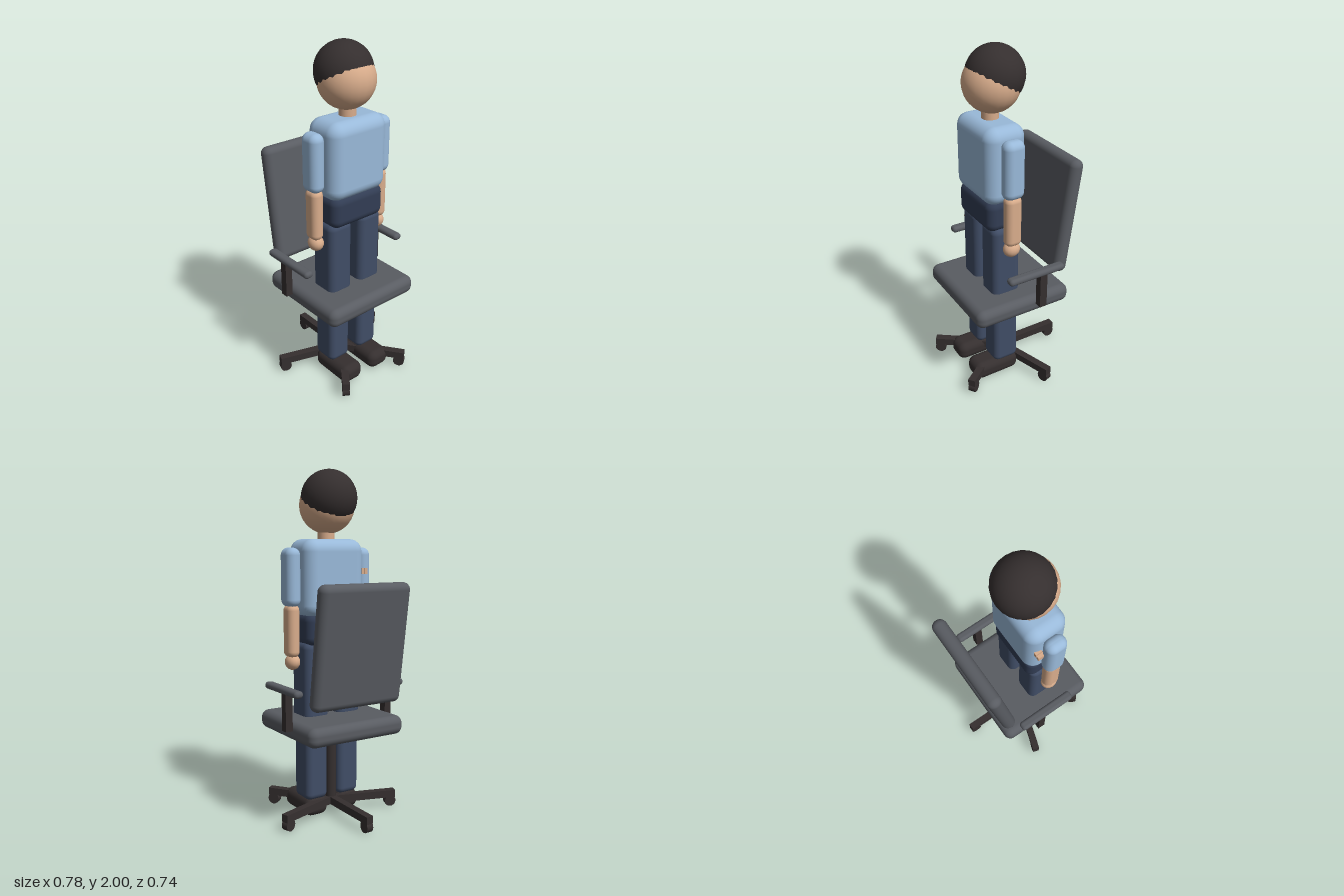
import * as THREE from 'three';
import { RoundedBoxGeometry } from 'three/addons/geometries/RoundedBoxGeometry.js';

const mat = (name, color) => {
  const m = new THREE.MeshStandardMaterial({ color });
  m.name = name;
  return m;
};

export function createModel() {
  const model = new THREE.Group();
  model.name = 'personWithOfficeChair';

  const dark = mat('darkBrown', 0x352f2f);
  const skin = mat('skin', 0xd9ad8c);
  const shirt = mat('shirtBlue', 0x99b9d9);
  const trousers = mat('trouserBlue', 0x404d66);
  const waist = mat('waistNavy', 0x323d54);
  const grey = mat('upholsteryGrey', 0x595c62);

  const add = (parent, name, geometry, material, x, y, z) => {
    const mesh = new THREE.Mesh(geometry, material);
    mesh.name = name;
    mesh.position.set(x, y, z);
    parent.add(mesh);
    return mesh;
  };
  // Rounded box given by its size, corner radius and centre
  const soft = (parent, name, material, [w, h, d], r, x, y, z) =>
    add(parent, name, new RoundedBoxGeometry(w, h, d, 4, r), material, x, y, z);

  // Person: head, hair, neck and trunk
  const person = new THREE.Group();
  person.name = 'person';
  model.add(person);
  add(person, 'head', new THREE.SphereGeometry(0.158, 24, 18), skin, 0, 1.8, 0.067);
  add(person, 'hair', new THREE.SphereGeometry(0.16, 24, 18), dark, 0, 1.84, 0.045);
  add(person, 'neck', new THREE.CylinderGeometry(0.048, 0.048, 0.12, 20), skin, 0, 1.62, 0.077);
  soft(person, 'torso', shirt, [0.39, 0.44, 0.245], 0.07, 0, 1.393, 0.078);
  soft(person, 'hips', waist, [0.36, 0.19, 0.22], 0.05, 0, 1.107, 0.08);

  // Limbs, mirrored
  for (const side of [1, -1]) {
    const label = side > 0 ? 'left' : 'right';
    soft(person, label + 'UpperArm', shirt, [0.09, 0.33, 0.122], 0.042, side * 0.234, 1.4, 0.077);
    soft(person, label + 'Forearm', skin, [0.075, 0.3, 0.097], 0.034, side * 0.231, 1.1, 0.077);
    add(person, label + 'Hand', new THREE.SphereGeometry(0.046, 16, 12), skin, side * 0.226, 0.923, 0.078)
      .scale.set(0.92, 1, 1.08);
    soft(person, label + 'Thigh', trousers, [0.158, 0.46, 0.175], 0.04, side * 0.107, 0.805, 0.078);
    soft(person, label + 'Shin', trousers, [0.144, 0.53, 0.16], 0.036, side * 0.107, 0.37, 0.076);
    soft(person, label + 'Shoe', dark, [0.146, 0.112, 0.29], 0.045, side * 0.107, 0.063, 0.135);
  }

  // Small pieces behind the right upper arm
  for (const x of [-0.218, -0.195])
    add(person, 'armTab', new THREE.BoxGeometry(0.018, 0.035, 0.04), skin, x, 1.43, 0.004);

  // Chair: cushions and armrests
  const chair = new THREE.Group();
  chair.name = 'chair';
  model.add(chair);
  soft(chair, 'seat', grey, [0.626, 0.11, 0.604], 0.045, 0, 0.555, 0.031);
  soft(chair, 'backrest', grey, [0.58, 0.69, 0.083], 0.04, 0, 1.036, -0.27).rotation.x = -0.137;
  for (const side of [1, -1]) {
    soft(chair, 'armrest', grey, [0.055, 0.04, 0.357], 0.019, side * 0.337, 0.79, -0.015);
    add(chair, 'armrestPost', new THREE.BoxGeometry(0.043, 0.215, 0.045), dark, side * 0.337, 0.673, -0.055);
  }

  // Chair: column and five-spoke wheeled base
  add(chair, 'column', new THREE.CylinderGeometry(0.032, 0.032, 0.44, 20), dark, 0, 0.29, 0.03);
  for (let i = 0; i < 5; i++) {
    const spoke = new THREE.Group();
    spoke.name = 'baseSpoke';
    spoke.position.z = 0.03;
    spoke.rotation.y = (i * Math.PI * 2) / 5;
    add(spoke, 'spokeBar', new THREE.BoxGeometry(0.043, 0.044, 0.4), dark, 0, 0.082, -0.2);
    add(spoke, 'caster', new THREE.CylinderGeometry(0.034, 0.034, 0.04, 16), dark, 0, 0.039, -0.37)
      .rotation.z = Math.PI / 2;
    chair.add(spoke);
  }

  // Rest the lowest point on the ground
  model.updateMatrixWorld(true);
  const low = new THREE.Box3().setFromObject(model, true).min.y;
  person.position.y -= low;
  chair.position.y -= low;
  return model;
}
